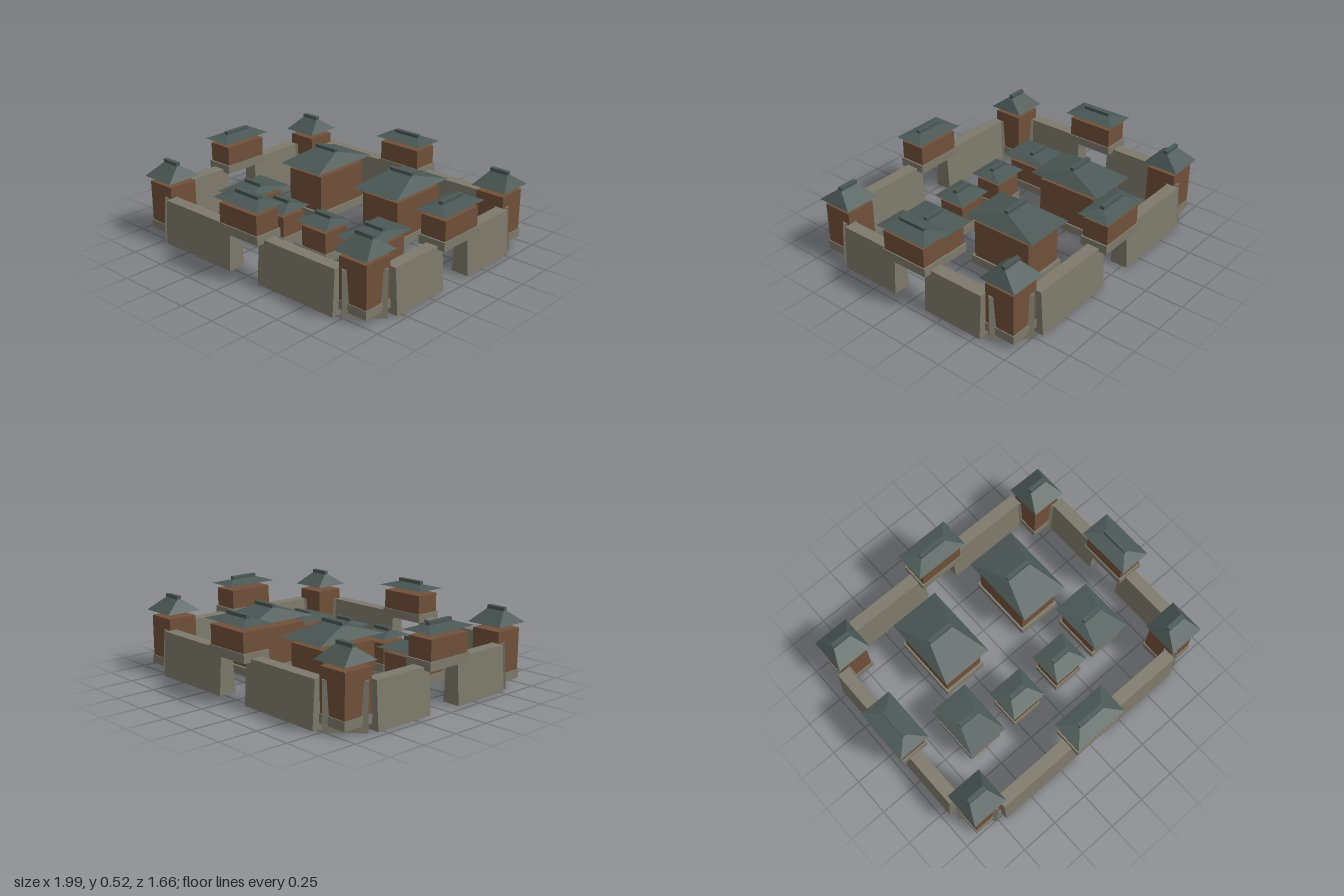
import * as THREE from 'three';

const mat = (name, color) => {
  const m = new THREE.MeshStandardMaterial({ color, side: THREE.DoubleSide });
  m.name = name;
  return m;
};

export function createModel() {
  const stone = mat('stone', 0x7d796b);
  const timber = mat('timber', 0x70503a);
  const tile = mat('roof tile', 0x4b5855);

  // Box from y0 to y1 with half sizes (bx, bz) below and (tx, tz) above
  function taper(name, material, y0, y1, bx, bz, tx = bx, tz = bz, open = false) {
    const geo = new THREE.BoxGeometry(2, 1, 2);
    const p = geo.attributes.position;
    for (let i = 0; i < p.count; i++) {
      const top = p.getY(i) > 0;
      p.setXYZ(i, p.getX(i) * (top ? tx : bx), top ? y1 : y0, p.getZ(i) * (top ? tz : bz));
    }
    if (open) { // leave out the underside
      const index = Array.from(geo.index.array);
      index.splice(18, 6);
      geo.setIndex(index);
      geo.clearGroups();
    }
    geo.computeVertexNormals();
    const mesh = new THREE.Mesh(geo, material);
    mesh.name = name;
    return mesh;
  }

  // Timber body on a hollow stone plinth, under a raised hip roof with a ridge beam
  function building(name, s) {
    const g = new THREE.Group();
    g.name = name;
    const [px, pz] = s.plinth, [bx, bz] = s.body, [rx, rz] = s.roof;
    g.add(
      taper('plinth', stone, s.base, s.base + 0.055, px, pz, px, pz, true),
      taper('body', timber, s.base + 0.045, s.wallTop, bx, bz),
      taper('roof', tile, s.eave, s.peak, rx, rz, s.ridge, 0.012),
      taper('ridge', tile, s.peak - 0.008, s.peak + 0.021, s.ridge, 0.014)
    );
    return g;
  }

  const gate = { base: 0.265, wallTop: 0.444, eave: 0.477, peak: 0.503, ridge: 0.095,
    plinth: [0.165, 0.092], body: [0.154, 0.085], roof: [0.185, 0.105] };
  const tower = { base: 0.036, wallTop: 0.356, eave: 0.39, peak: 0.468, ridge: 0.063,
    plinth: [0.104, 0.104], body: [0.098, 0.098], roof: [0.12, 0.122] };
  const hall = { base: 0.036, wallTop: 0.335, eave: 0.373, peak: 0.443, ridge: 0.088,
    plinth: [0.15, 0.222], body: [0.138, 0.204], roof: [0.169, 0.257] };
  const sideHouse = { base: 0.036, wallTop: 0.224, eave: 0.258, peak: 0.287, ridge: 0.07,
    plinth: [0.117, 0.155], body: [0.108, 0.143], roof: [0.133, 0.19] };
  const smallHouse = { base: 0.036, wallTop: 0.224, eave: 0.258, peak: 0.287, ridge: 0.063,
    plinth: [0.106, 0.097], body: [0.097, 0.089], roof: [0.125, 0.115] };

  const model = new THREE.Group();
  model.name = 'walledCompound';
  const place = (obj, x, z, turn = 0) => {
    obj.position.set(x, 0, z);
    obj.rotation.y = turn;
    model.add(obj);
  };

  // Battered wall running along its local x
  const wall = (name, half) => taper(name, stone, 0, 0.286, half, 0.058, half, 0.04, true);

  for (const sx of [-1, 1]) {
    const side = sx > 0 ? 'left' : 'right';
    // Courtyard buildings
    place(building(side + 'Hall', hall), sx * 0.318, -0.274);
    place(building(side + 'SideHouse', sideHouse), sx * 0.513, 0.211);
    place(building(side + 'SmallHouse', smallHouse), sx * 0.177, 0.283);
    // Side gatehouse
    place(building(side + 'Gatehouse', gate), sx * 0.892, 0, Math.PI / 2);

    for (const sz of [-1, 1]) {
      const end = side + (sz > 0 ? 'Front' : 'Back');
      // Walls either side of the gate openings
      place(wall(end + 'LongWall', 0.293), sx * 0.413, sz * 0.725);
      place(wall(end + 'ShortWall', 0.207), sx * 0.896, sz * 0.326, Math.PI / 2);
      // Corner tower astride a diagonal wall
      place(wall(end + 'CornerWall', 0.124), sx * 0.802, sz * 0.632, sx * sz * Math.PI / 4);
      place(building(end + 'Tower', tower), sx * 0.802, sz * 0.632);
    }
  }

  // Front and back gatehouses
  place(building('frontGatehouse', gate), 0, 0.726);
  place(building('backGatehouse', gate), 0, -0.726);

  return model;
}
